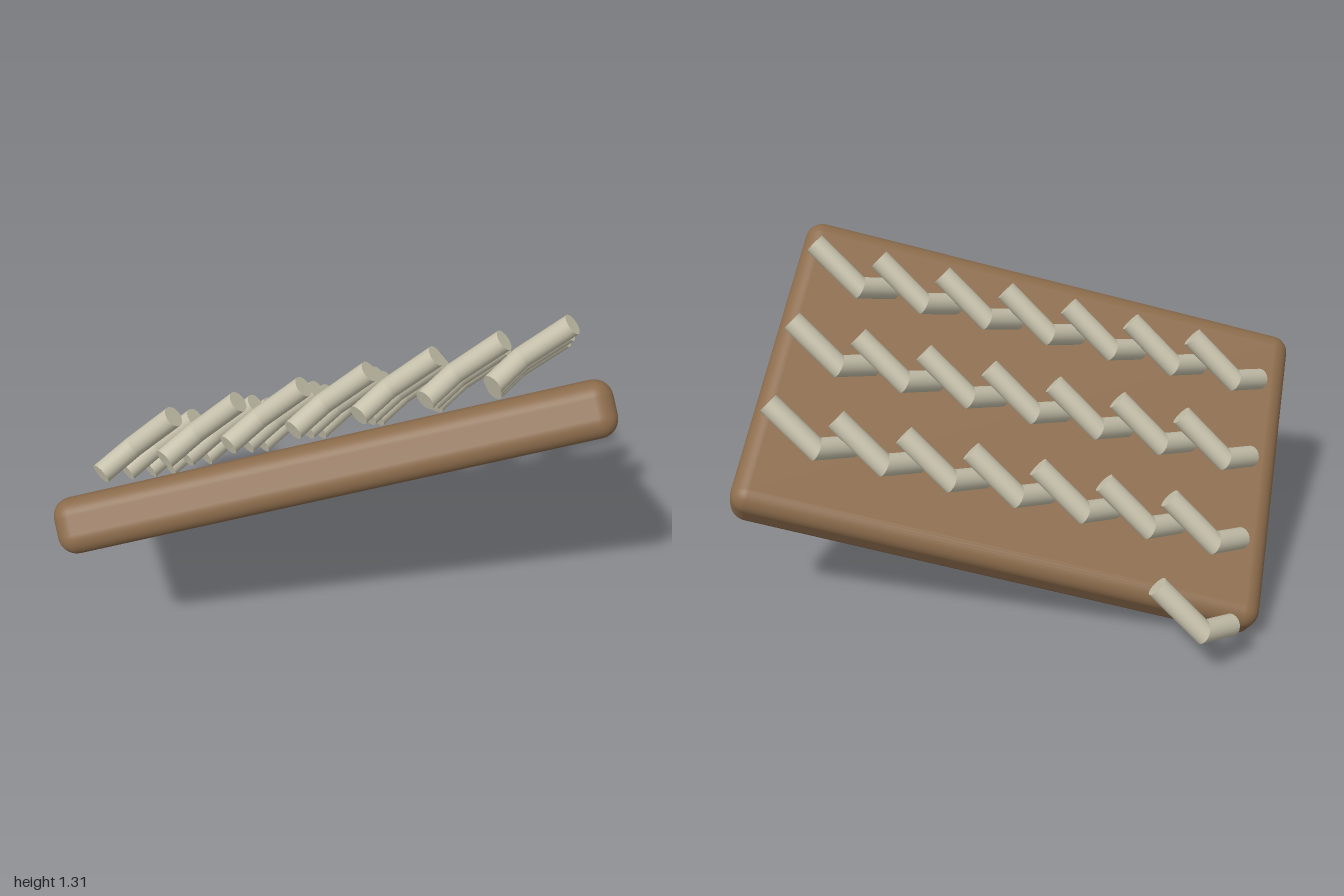
import * as THREE from 'three';
import { RoundedBoxGeometry } from 'three/addons/geometries/RoundedBoxGeometry.js';

const V = (x, y, z) => new THREE.Vector3(x, y, z);

// Straight rod from a to b; the vertices at the joint are slid onto the mitre plane
function rodGeometry(a, b, radius, joint, mitre) {
  const dir = b.clone().sub(a);
  const length = dir.length();
  dir.normalize();
  const g = new THREE.CylinderGeometry(radius, radius, length, 24);
  g.applyQuaternion(new THREE.Quaternion().setFromUnitVectors(V(0, 1, 0), dir));
  const mid = a.clone().add(b).multiplyScalar(0.5);
  g.translate(mid.x, mid.y, mid.z);
  const pos = g.attributes.position;
  const p = V(0, 0, 0);
  for (let i = 0; i < pos.count; i++) {
    p.fromBufferAttribute(pos, i).sub(joint);
    if (Math.abs(p.dot(dir)) > length / 2) continue;
    p.addScaledVector(dir, -p.dot(mitre) / dir.dot(mitre)).add(joint);
    pos.setXYZ(i, p.x, p.y, p.z);
  }
  return g;
}

export function createModel() {
  const wood = new THREE.MeshStandardMaterial({ color: 0x8b6b4b });
  wood.name = 'brown wood';
  const bone = new THREE.MeshStandardMaterial({ color: 0xc8c3ad });
  bone.name = 'pale bone';

  const model = new THREE.Group();
  model.name = 'peggedBoard';

  // Tilted axes: along the board, out of its top face, across the board
  const along = V(0.806, 0.246, -0.538).normalize();
  const up = V(-0.491, 0.785, -0.377);
  up.addScaledVector(along, -up.dot(along)).normalize();
  const across = along.clone().cross(up);

  // Rounded slab
  const board = new THREE.Mesh(new RoundedBoxGeometry(1.93, 0.196, 1.204, 6, 0.065), wood);
  board.name = 'board';
  board.quaternion.setFromRotationMatrix(new THREE.Matrix4().makeBasis(along, up, across));
  board.position.set(0.015, 0.617, 0);
  model.add(board);

  // Bent peg, measured from its tip
  const tip = V(0, 0, 0);
  const bend = V(-0.155, -0.155, 0.055);
  const foot = V(-0.19, -0.2, 0.2);
  const mitre = bend.clone().normalize().add(foot.clone().sub(bend).normalize()).normalize();
  const shaftGeo = rodGeometry(tip, bend, 0.039, bend, mitre);
  const footGeo = rodGeometry(bend, foot, 0.039, bend, mitre);

  // Three full rows of seven, plus a single peg past the edge
  const addPeg = (row, column) => {
    const peg = new THREE.Group();
    peg.name = 'peg';
    const shaft = new THREE.Mesh(shaftGeo, bone);
    shaft.name = 'pegShaft';
    const base = new THREE.Mesh(footGeo, bone);
    base.name = 'pegFoot';
    peg.add(shaft, base);
    peg.position.set(-0.65, 0.557, -0.05)
      .addScaledVector(along, column * 0.237)
      .addScaledVector(across, row * 0.327);
    model.add(peg);
  };
  addPeg(-1, 0);
  for (let row = 0; row < 3; row++) {
    for (let column = 0; column < 7; column++) addPeg(row, column);
  }
  return model;
}
